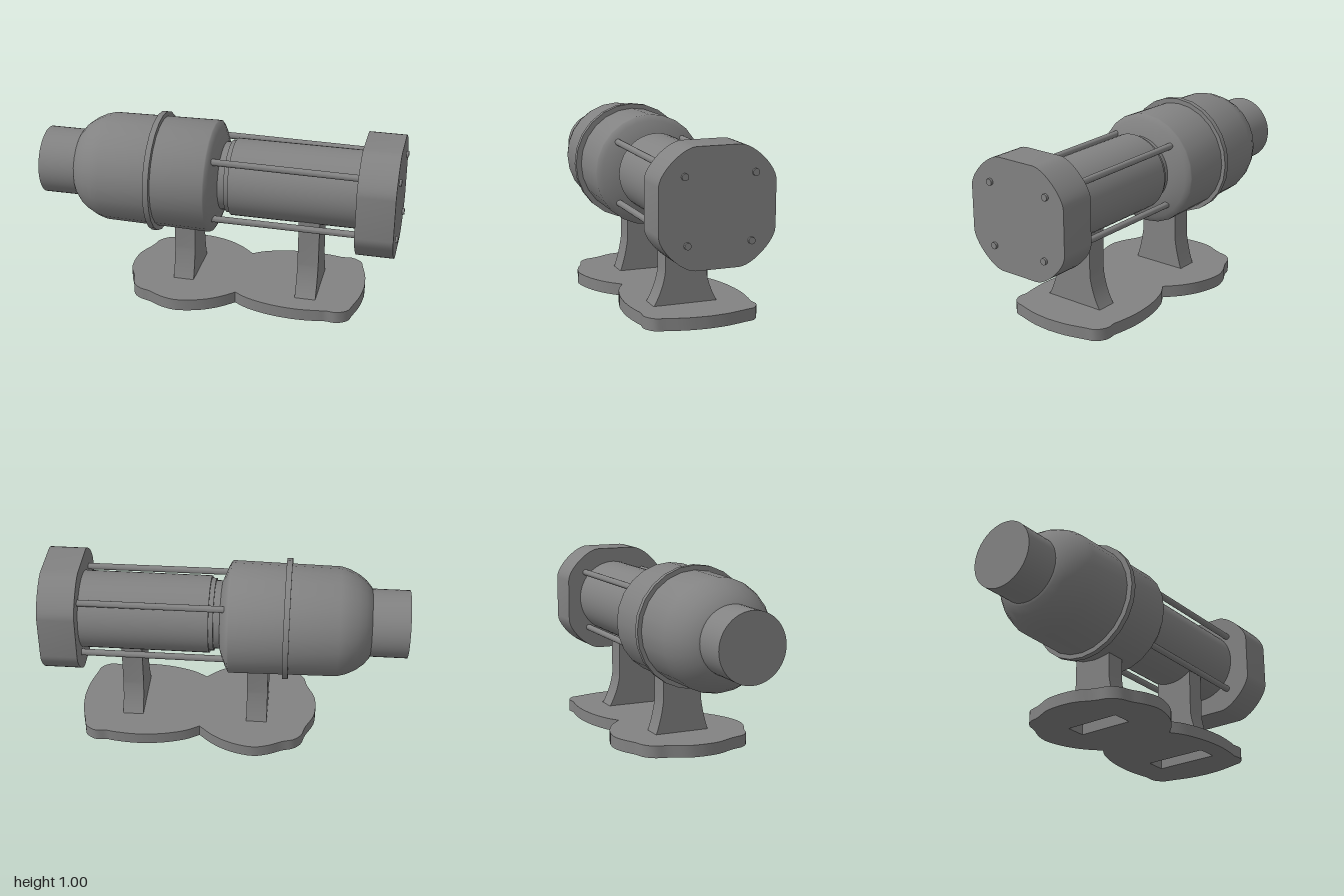
import * as THREE from 'three';
import { toCreasedNormals } from 'three/addons/utils/BufferGeometryUtils.js';

const material = new THREE.MeshStandardMaterial({ color: 0x828282 });

function addPart(group, name, geometry, x = 0, y = 0, z = 0, crease = 0.5) {
  const mesh = new THREE.Mesh(toCreasedNormals(geometry, crease), material);
  mesh.name = name;
  mesh.position.set(x, y, z);
  group.add(mesh);
}

// Turned solid along x from [x, radius] pairs
function turned(profile, sides) {
  const points = profile.map(([x, r]) => new THREE.Vector2(r, x));
  return new THREE.LatheGeometry(points, sides).rotateZ(-Math.PI / 2);
}

// Shape drawn in the z/y plane, extruded along x
function extrudeX(shape, depth) {
  return new THREE.ExtrudeGeometry(shape, { depth, bevelEnabled: false, curveSegments: 12 })
    .rotateY(Math.PI / 2);
}

// Pillar side view: straight neck with flared foot
function pillarShape(top, neck, foot) {
  const s = new THREE.Shape();
  s.moveTo(-neck, top);
  s.lineTo(-neck, 0.245);
  s.quadraticCurveTo(-neck - 0.012, 0.15, -foot, 0.06);
  s.lineTo(foot, 0.06);
  s.quadraticCurveTo(neck + 0.012, 0.15, neck, 0.245);
  s.lineTo(neck, top);
  s.closePath();
  return s;
}

// End block face: flat sides joined by wide round corners
function blockShape() {
  const w = 0.306, h = 0.304, fw = 0.1125, fh = 0.118;
  const k = 0.37, dw = (w - fw) * k, dh = (h - fh) * k;
  const s = new THREE.Shape();
  s.moveTo(w, -fh);
  s.lineTo(w, fh);
  s.bezierCurveTo(w, fh + dh, fw + dw, h, fw, h);
  s.lineTo(-fw, h);
  s.bezierCurveTo(-fw - dw, h, -w, fh + dh, -w, fh);
  s.lineTo(-w, -fh);
  s.bezierCurveTo(-w, -fh - dh, -fw - dw, -h, -fw, -h);
  s.lineTo(fw, -h);
  s.bezierCurveTo(fw + dw, -h, w, -fh - dh, w, -fh);
  return s;
}

// Two-lobed base outline, mirrored across z
function baseShape() {
  const lobes = [
    [[-0.52, 0], [-0.51, 0.09], [-0.465, 0.19], [-0.445, 0.26], [-0.4, 0.305], [-0.34, 0.325],
      [-0.26, 0.365], [-0.17, 0.383], [-0.05, 0.355], [0.05, 0.3], [0.13, 0.228]],
    [[0.13, 0.228], [0.21, 0.275], [0.34, 0.312], [0.48, 0.325], [0.6, 0.315], [0.65, 0.306],
      [0.71, 0.31], [0.765, 0.275], [0.782, 0.22], [0.81, 0.11], [0.82, 0]],
  ];
  const half = lobes.flatMap((pts) =>
    new THREE.SplineCurve(pts.map(([x, z]) => new THREE.Vector2(x, z))).getPoints(32));
  const mirrored = half.slice(1, -1).reverse().map((p) => new THREE.Vector2(p.x, -p.y));
  return new THREE.Shape([...half, ...mirrored]);
}

export function createModel() {
  const model = new THREE.Group();
  model.name = 'pumpUnit';
  const axisY = 0.662, axisZ = 0.01;

  // End boss, motor shell and flange
  addPart(model, 'endBoss', turned([[-1, 0], [-1, 0.186], [-0.75, 0.186]], 48), 0, 0.665, axisZ);
  addPart(model, 'motorShell', turned([
    [-0.8, 0], [-0.8, 0.18], [-0.79, 0.198], [-0.76, 0.233], [-0.72, 0.263], [-0.67, 0.288], [-0.62, 0.302],
    [-0.035, 0.311], [-0.028, 0.308], [-0.012, 0.28], [0.02, 0.2], [0.02, 0],
  ], 24), 0, axisY, axisZ, 1.1);
  addPart(model, 'flange', turned([
    [-0.356, 0.29], [-0.356, 0.333], [-0.325, 0.333], [-0.325, 0.29],
  ], 24), 0, axisY, axisZ + 0.004);

  // Barrel with stepped neck
  addPart(model, 'barrel', turned([
    [0, 0], [0, 0.188], [0.055, 0.188], [0.055, 0.2], [0.08, 0.2], [0.08, 0.213], [0.8, 0.213], [0.8, 0],
  ], 48), 0, 0.672, 0.012);

  addPart(model, 'endBlock', extrudeX(blockShape(), 0.202), 0.785, 0.662, 0.031);

  // Four tie rods running through the end block
  const rods = [[0.2, 0.832, 0.205, 0.825], [-0.172, 0.832, -0.163, 0.825],
    [0.195, 0.492, 0.19, 0.487], [-0.155, 0.492, -0.145, 0.487]];
  for (const [z0, y0, z1, y1] of rods) {
    const path = new THREE.LineCurve3(new THREE.Vector3(-0.02, y0, z0), new THREE.Vector3(1, y1, z1));
    addPart(model, 'tieRod', new THREE.TubeGeometry(path, 1, 0.018, 16));
    const cap = new THREE.CircleGeometry(0.018, 16).rotateY(Math.PI / 2);
    addPart(model, 'tieRodEnd', cap, 1, y1, z1);
  }

  // Pillars, each standing over an open slot in the base
  const base = baseShape();
  const width = 0.115;
  const pillars = [[-0.245, -0.006, 0.42, 0.157], [0.46, 0.031, 0.52, 0.178]];
  for (const [x, z, top, foot] of pillars) {
    addPart(model, 'pillar', extrudeX(pillarShape(top, 0.113, foot), width), x, 0, z);
    const slot = new THREE.Path();
    slot.moveTo(x, z - foot);
    slot.lineTo(x + width, z - foot);
    slot.lineTo(x + width, z + foot);
    slot.lineTo(x, z + foot);
    slot.closePath();
    base.holes.push(slot);
  }
  const plate = new THREE.ExtrudeGeometry(base, { depth: 0.066, bevelEnabled: false }).rotateX(Math.PI / 2);
  addPart(model, 'base', plate, 0, 0.066, 0);

  return model;
}
